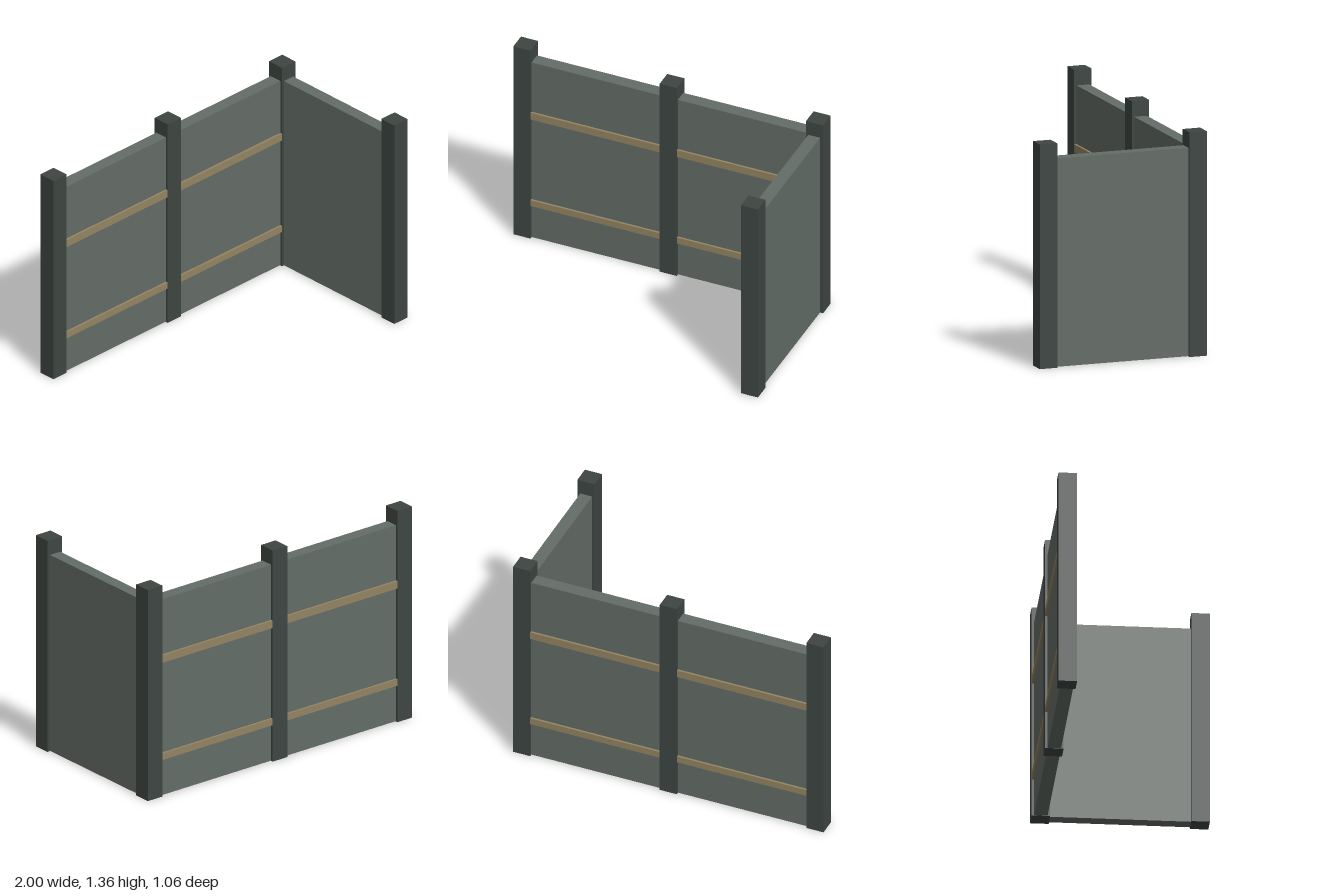
import * as THREE from 'three';

export function createModel() {
  const group = new THREE.Group();
  const postMat = new THREE.MeshStandardMaterial({ color: 0x3e4642 });
  const panelMat = new THREE.MeshStandardMaterial({ color: 0x646d67 });
  const railMat = new THREE.MeshStandardMaterial({ color: 0x948462 });

  // Box standing on height y, centred on x and z
  function box(name, mat, w, h, d, x, y, z) {
    const mesh = new THREE.Mesh(new THREE.BoxGeometry(w, h, d), mat);
    mesh.name = name;
    mesh.position.set(x, y + h / 2, z);
    group.add(mesh);
  }

  const post = 0.11, postX = 0.945, postZ = 0.473;

  // Square posts: three along the back, one at the end of the side wall
  box('backRightPost', postMat, post, 1.355, post, -postX, 0, -postZ);
  box('backMiddlePost', postMat, post, 1.355, post, 0, 0, -postZ);
  box('cornerPost', postMat, post, 1.355, post, postX, 0, -postZ);
  box('frontPost', postMat, post, 1.355, post, postX, 0, postZ);

  // Wall panels, set between the posts
  for (const side of [-1, 1]) {
    const name = side < 0 ? 'backRightPanel' : 'backLeftPanel';
    box(name, panelMat, postX, 1.258, 0.08, side * postX / 2, 0.002, -postZ);
  }
  box('sidePanel', panelMat, 0.077, 1.258, 2 * postZ, 0.943, 0.002, 0);

  // Rails showing on both faces of the back wall, just inside the post faces
  box('lowerRail', railMat, 2 * postX, 0.042, 0.108, 0, 0.234, -postZ);
  box('upperRail', railMat, 2 * postX, 0.048, 0.108, 0, 0.858, -postZ);

  return group;
}
